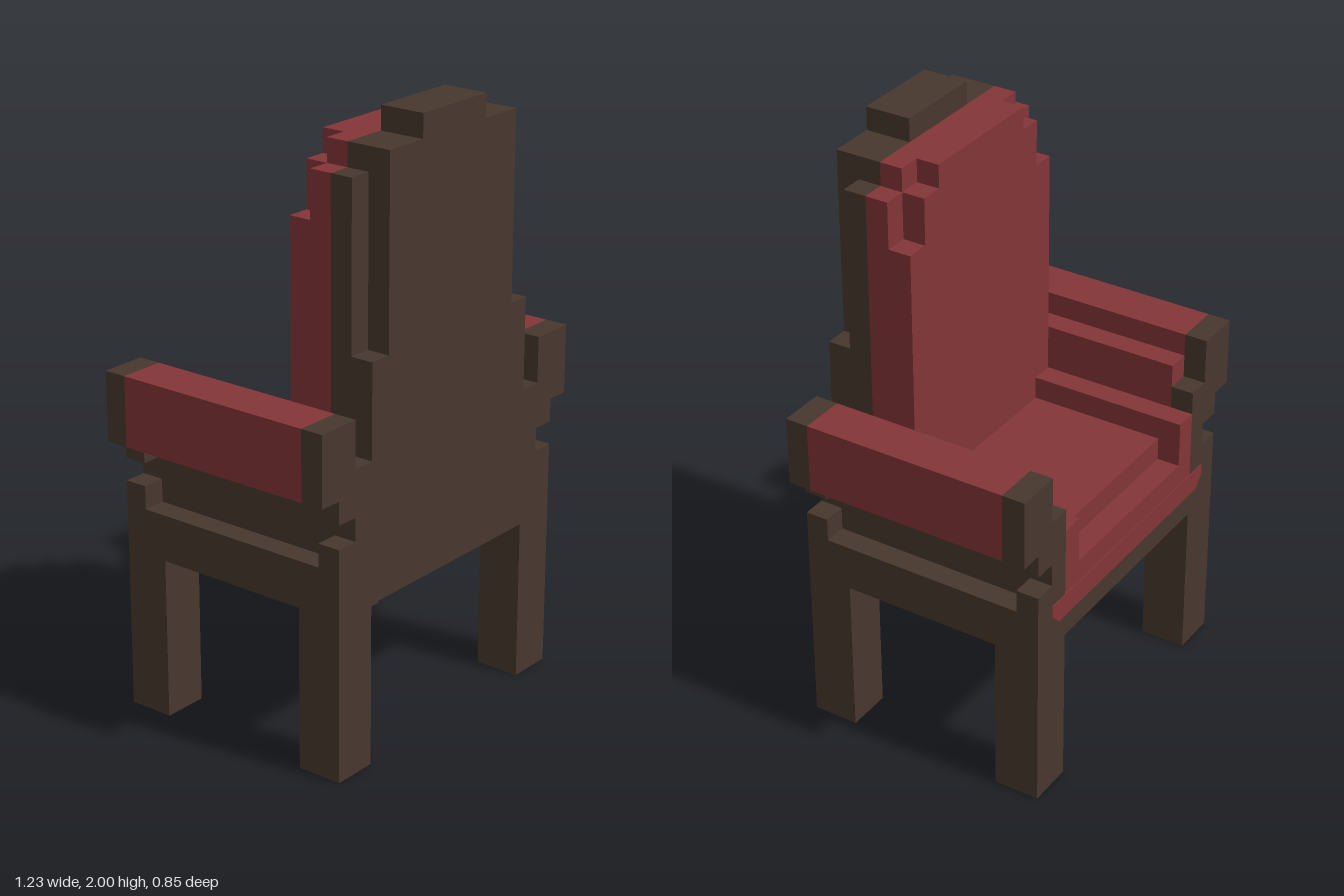
import * as THREE from 'three';

const U = 1 / 13; // one block

export function createModel() {
  const root = new THREE.Group();
  root.name = 'armchair';
  const wood = new THREE.MeshStandardMaterial({ color: 0x48372e });
  wood.name = 'dark wood';
  const cloth = new THREE.MeshStandardMaterial({ color: 0x833538 });
  cloth.name = 'red upholstery';

  // Box from min/max corners in block units
  function box(name, mat, x0, x1, y0, y1, z0, z1) {
    const g = new THREE.BoxGeometry((x1 - x0) * U, (y1 - y0) * U, (z1 - z0) * U);
    const m = new THREE.Mesh(g, mat);
    m.position.set((x0 + x1) / 2 * U, (y0 + y1) / 2 * U, (z0 + z1) / 2 * U);
    m.name = name;
    root.add(m);
  }
  // Centred on x
  const mid = (name, mat, hx, ...r) => box(name, mat, -hx, hx, ...r);
  // Mirrored left and right
  const pair = (name, mat, x0, x1, ...r) => {
    box(name + 'Left', mat, x0, x1, ...r);
    box(name + 'Right', mat, -x1, -x0, ...r);
  };

  // Legs and corner posts, at both ends of the chair
  for (const [end, s] of [['back', 1], ['front', -1]]) {
    const z = (a, b) => (s > 0 ? [a, b] : [-b, -a]);
    pair(end + 'Leg', wood, 5, 7, 0, 7, ...z(3.5, 5.5));
    pair(end + 'PostBase', wood, 5, 7, 9, 10, ...z(4.5, 5.5));
    pair(end + 'PostNeck', wood, 5, 6, 10, 11, ...z(4.5, 5.5));
    pair(end + 'PostCollar', wood, 5, 7, 11, 12, ...z(4.5, 5.5));
    pair(end + 'PostStep', wood, 5, 6, 12, 13, ...z(4.5, 5.5));
    pair(end + 'ArmCap', wood, 6, 8, 12, 15, ...z(4.5, 5.5));
  }

  // Seat frame and side panels
  mid('seatFrame', wood, 7, 7, 9, -5.5, 5.5);
  pair('sidePanel', wood, 5, 6, 9, 12, -4.5, 4.5);

  // Seat upholstery
  mid('seatLip', cloth, 4, 9, 10, -5.5, 3.5);
  mid('seatCushion', cloth, 4, 10, 11, -4.5, 3.5);
  pair('seatBolster', cloth, 4, 5, 9, 12, -5.5, 3.5);

  // Front edge of the upholstery, with clipped lower corners
  const edge = new THREE.Shape(
    [[-6, 9], [-6, 8.5], [-5.5, 8], [5.5, 8], [6, 8.5], [6, 9]]
      .map(([x, y]) => new THREE.Vector2(x * U, y * U)));
  const apron = new THREE.Mesh(
    new THREE.ExtrudeGeometry(edge, { depth: 0.004, bevelEnabled: false }), cloth);
  apron.position.z = -5.5 * U - 0.003;
  apron.name = 'frontApron';
  root.add(apron);

  // Armrests
  pair('armrest', cloth, 6, 8, 12, 15, -4.5, 4.5);
  pair('innerArmPad', cloth, 5, 6, 12, 14, -4.5, 4.5);

  // Stepped wooden back
  mid('backLower', wood, 5, 9, 17, 3.5, 5.5);
  mid('backUpper', wood, 4, 17, 25, 3.5, 5.5);
  pair('backEdge', wood, 4, 5, 17, 24, 3.5, 4.5);
  mid('backCrest', wood, 2, 25, 26, 3.5, 5.5);

  // Back cushion in two stepped layers
  mid('cushionFoot', cloth, 4, 11, 12, 1.5, 3.5);
  mid('cushionRear', cloth, 5, 12, 24, 2.5, 3.5);
  mid('cushionRearTop', cloth, 4, 24, 25, 2.5, 3.5);
  mid('cushionFront', cloth, 5, 12, 22, 1.5, 2.5);
  mid('cushionFrontStep', cloth, 4, 22, 24, 1.5, 2.5);
  mid('cushionFrontTop', cloth, 3, 24, 25, 1.5, 2.5);

  return root;
}
